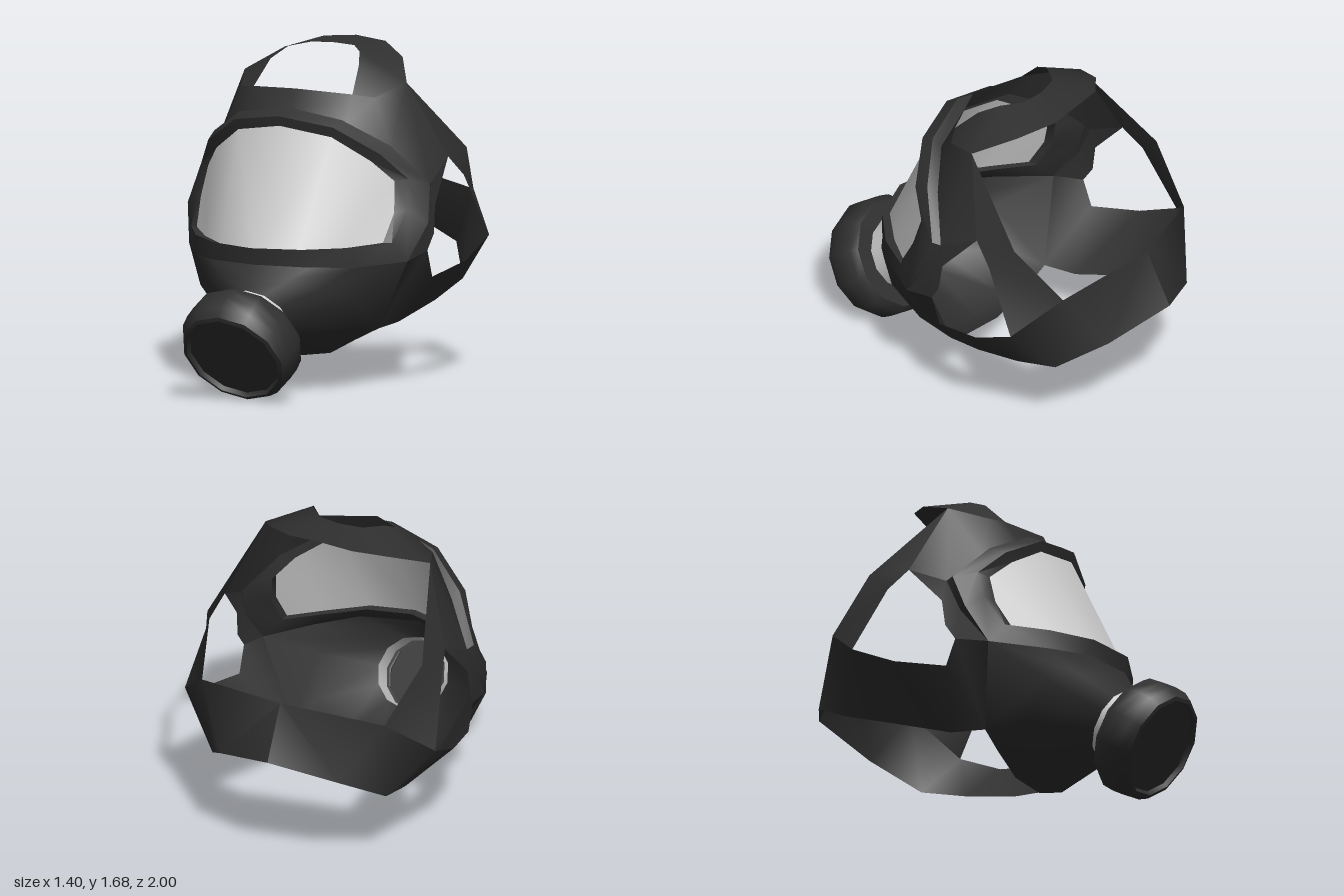
import * as THREE from 'three';
import { toCreasedNormals } from 'three/addons/utils/BufferGeometryUtils.js';

const rubber = new THREE.MeshStandardMaterial({ color: 0x303030, side: THREE.DoubleSide });
const grey = new THREE.MeshStandardMaterial({ color: 0xcccccc, side: THREE.DoubleSide });

// Builds both mirrored halves from strips; each strip joins two rows of points.
function mirroredSurface(name, strips, material, crease) {
  const pos = [];
  const tri = (a, b, c) => {
    if (a === b || b === c || a === c) return;
    pos.push(...a, ...b, ...c);
    for (const p of [a, c, b]) pos.push(p[0] ? -p[0] : 0, p[1], p[2]);
  };
  for (const [a, b] of strips) {
    for (let i = 0; i < a.length - 1; i++) {
      tri(a[i], b[i], a[i + 1]);
      tri(b[i], b[i + 1], a[i + 1]);
    }
  }
  const g = new THREE.BufferGeometry();
  g.setAttribute('position', new THREE.Float32BufferAttribute(pos, 3));
  const mesh = new THREE.Mesh(toCreasedNormals(g, crease), material);
  mesh.name = name;
  return mesh;
}

// Round part on the tilted breathing axis; profile is [radius, distance along axis].
function axialPart(name, profile, material) {
  const g = new THREE.LatheGeometry(profile.map(([r, h]) => new THREE.Vector2(r, h)), 12);
  const mesh = new THREE.Mesh(toCreasedNormals(g, 0.75), material);
  mesh.position.set(0, 0.39, 0.605);
  mesh.rotation.x = Math.acos(-0.56);
  mesh.name = name;
  return mesh;
}

export function createModel() {
  const group = new THREE.Group();

  // Visor frame loops, from top centre round the side to bottom centre
  const back = [[0, 1.42, 0.31], [0.29, 1.365, 0.25], [0.5, 1.235, 0.13], [0.65, 1.04, -0.01],
    [0.683, 0.85, 0.07], [0.62, 0.665, 0.17], [0.455, 0.655, 0.41], [0.28, 0.665, 0.57], [0, 0.67, 0.65]];
  const front = [[0, 1.38, 0.375], [0.28, 1.335, 0.32], [0.49, 1.2, 0.21], [0.585, 1.07, 0.1],
    [0.605, 0.92, 0.14], [0.57, 0.765, 0.24], [0.44, 0.755, 0.43], [0.25, 0.755, 0.59], [0, 0.755, 0.665]];
  const inner = [[0, 1.33, 0.365], [0.265, 1.285, 0.31], [0.44, 1.165, 0.22], [0.53, 1.06, 0.14],
    [0.55, 0.907, 0.18], [0.53, 0.765, 0.26], [0.4, 0.75, 0.41], [0.22, 0.745, 0.57], [0, 0.745, 0.63]];
  const innerBack = inner.map(([x, y, z]) => [x, y, z - 0.05]);
  // Shell line where the raised frame steps down to the face piece
  const seat = [[0, 1.385, 0.26], [0.285, 1.335, 0.2], [0.48, 1.215, 0.08], [0.632, 1.03, -0.05],
    [0.645, 0.85, 0.03], back[5]];
  group.add(mirroredSurface('visorFrame', [[seat, back.slice(0, 6)],
    [back, front], [front, inner], [inner, innerBack], [innerBack, back]], rubber, 0.6));

  // Visor pane curves round from side to side
  const pane = inner.map(([x, y, z]) => [x, y, z - 0.004]);
  group.add(mirroredSurface('visor', [[pane.slice(0, 5), pane.slice(4).reverse()]], grey, 1));

  // Muzzle: round neck opening widening to the frame, cheeks and chin
  const neckRing = [];
  for (let i = 0; i <= 6; i++) {
    const t = i * Math.PI / 6, c = 0.19 * Math.cos(t);
    neckRing.push([i % 6 ? 0.19 * Math.sin(t) : 0, 0.39 + 0.83 * c, 0.605 + 0.56 * c]);
  }
  const muzzleMid = [[0, 0.61, 0.68], [0.19, 0.6, 0.635], [0.32, 0.55, 0.53], [0.43, 0.5, 0.4],
    [0.37, 0.32, 0.27], [0.21, 0.18, 0.22], [0, 0.147, 0.2]];
  const jaw = [0.395, 0.295, 0.06];
  const muzzleEdge = [back[8], back[7], back[6], back[5], jaw, [0.27, 0.23, 0.075], [0, 0.2, 0.06]];
  group.add(mirroredSurface('muzzle', [[muzzleEdge, muzzleMid], [muzzleMid, neckRing]], rubber, 0.9));

  // Corners of the side opening, from the cheek round below to the temple
  const h = [[0.64, 0.7, 0], [0.64, 0.56, -0.05], [0.69, 0.61, -0.31], [0.7, 0.71, -0.53],
    [0.65, 1.03, -0.36], [0.615, 1.135, -0.26], [0.645, 0.92, -0.07], [0.65, 0.78, -0.05]];
  const backCorner = [0.51, 0.9, -0.715];
  const crownSide = [0.46, 1.515, -0.115];
  const browSide = [0.38, 1.46, 0.07], browHole = [0.28, 1.475, 0.12];

  group.add(mirroredSurface('cheek',
    [[[h[5], h[6], h[7], h[0]], [seat[3], seat[3], seat[4], seat[5]]]], rubber, 0.9));

  // Lower strap runs into the wide band behind the head
  group.add(mirroredSurface('lowerStrap', [
    [[back[5], h[0], h[1], h[2], h[3], backCorner, [0, 0.97, -0.86]],
      [jaw, jaw, [0.41, 0.305, -0.12], [0.465, 0.38, -0.4], [0.485, 0.455, -0.65],
        [0.33, 0.6, -0.865], [0, 0.7, -1]]],
  ], rubber, 0.9));

  group.add(mirroredSurface('upperStrap',
    [[[h[3], h[4], h[5]], [backCorner, [0.6, 1.15, -0.48], crownSide]]], rubber, 0.9));

  group.add(mirroredSurface('brow', [
    [[h[5], seat[3], seat[2], seat[1], seat[0]],
      [crownSide, crownSide, browSide, browHole, [0, 1.497, 0.21]]],
  ], rubber, 0.9));

  // Arched strap over the crown
  group.add(mirroredSurface('crownStrap', [
    [[browHole, [0.25, 1.6, 0], [0.2, 1.655, -0.1], [0.12, 1.668, -0.19], [0, 1.67, -0.21]],
      [browSide, crownSide, [0.335, 1.61, -0.3], [0.175, 1.662, -0.415], [0, 1.677, -0.43]]],
  ], rubber, 0.9));

  // Neck and filter canister with a recessed face
  group.add(axialPart('neck', [[0.183, -0.03], [0.183, 0.09]], grey));
  group.add(axialPart('filterCanister', [[0.17, 0.085], [0.275, 0.08], [0.3, 0.115], [0.305, 0.18],
    [0.3, 0.245], [0.275, 0.295], [0.255, 0.302], [0.243, 0.28], [0, 0.28]], rubber));

  return group;
}
